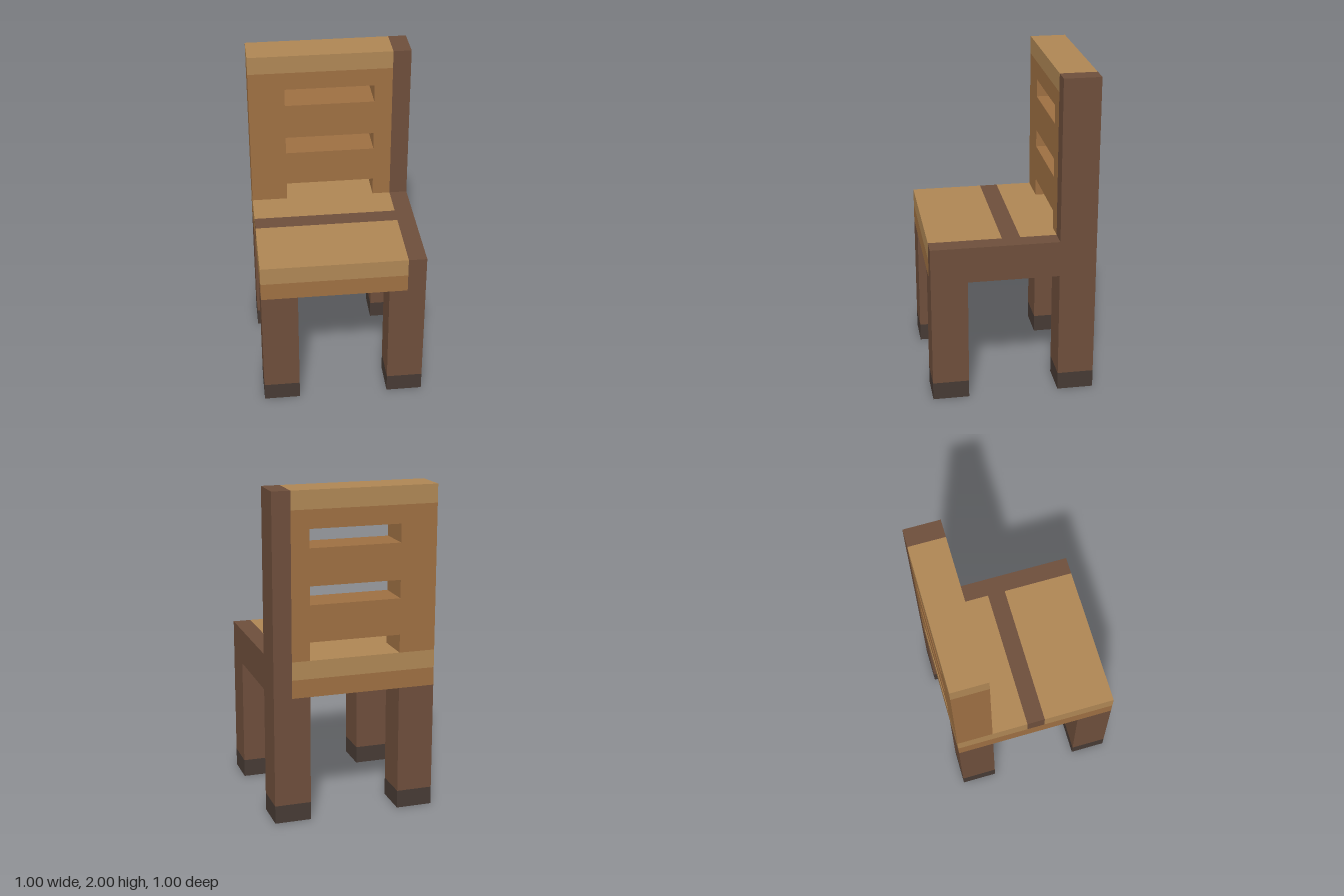
import * as THREE from 'three';

const U = 1 / 9; // block size; the chair is 9 x 18 x 9 blocks
const material = (color) => new THREE.MeshStandardMaterial({ color, flatShading: true });

export function createModel() {
  const group = new THREE.Group();
  const light = material(0xae8654);
  const mid = material(0x9d6f42);
  const dark = material(0x6d4e3b);
  const black = material(0x463a34);

  const add = (name, geometry, mat) => {
    geometry.scale(U, U, U);
    const mesh = new THREE.Mesh(geometry, mat);
    mesh.name = name;
    group.add(mesh);
  };

  // Box from its minimum and maximum corners, in blocks
  const box = (name, [x0, y0, z0], [x1, y1, z1], mat) => {
    const g = new THREE.BoxGeometry(x1 - x0, y1 - y0, z1 - z0);
    g.translate((x0 + x1) / 2, (y0 + y1) / 2, (z0 + z1) / 2);
    add(name, g, mat);
  };

  const outline = (points) => new THREE.Shape(points.map(([x, y]) => new THREE.Vector2(x, y)));

  // Legs with dark feet
  for (const [side, x] of [['left', 2.5], ['right', -4.5]]) {
    for (const [end, z] of [['Front', 2.5], ['Back', -4.5]]) {
      box(`${side}${end}Leg`, [x, 1, z], [x + 2, 7, z + 2], dark);
      box(`${side}${end}Foot`, [x, 0, z], [x + 2, 1, z + 2], black);
    }
  }

  // Seat: base board, two top panels and the inlaid strip between them
  box('seatBase', [-4.5, 7, -4.5], [3.5, 8, 4.5], mid);
  box('seatFrontPanel', [-4.5, 8, 0.5], [3.5, 9, 4.5], light);
  box('seatBackPanel', [-4.5, 8, -4.5], [3.5, 9, -0.5], light);
  box('seatStrip', [-4.5, 8, -0.5], [3.5, 9, 0.5], dark);

  // Backrest: board with a notch over the seat and two slots above it
  const board = outline([
    [-4.5, 9], [-2.5, 9], [-2.5, 10], [2.5, 10], [2.5, 9], [3.5, 9], [3.5, 17], [-4.5, 17],
  ]);
  for (const y of [12, 15]) {
    board.holes.push(outline([[-2.5, y], [-2.5, y + 1], [2.5, y + 1], [2.5, y]]));
  }
  const back = new THREE.ExtrudeGeometry(board, { depth: 2, bevelEnabled: false });
  back.translate(0, 0, -4.5);
  add('backrest', back, mid);
  box('backrestTopRail', [-4.5, 17, -4.5], [3.5, 18, -2.5], light);

  // L-shaped side rail running along the seat and up the backrest
  const rail = new THREE.ExtrudeGeometry(
    outline([[-4.5, 7], [4.5, 7], [4.5, 9], [-2.5, 9], [-2.5, 18], [-4.5, 18]]),
    { depth: 1, bevelEnabled: false },
  );
  rail.rotateY(-Math.PI / 2);
  rail.translate(4.5, 0, 0);
  add('leftSideRail', rail, dark);

  return group;
}
